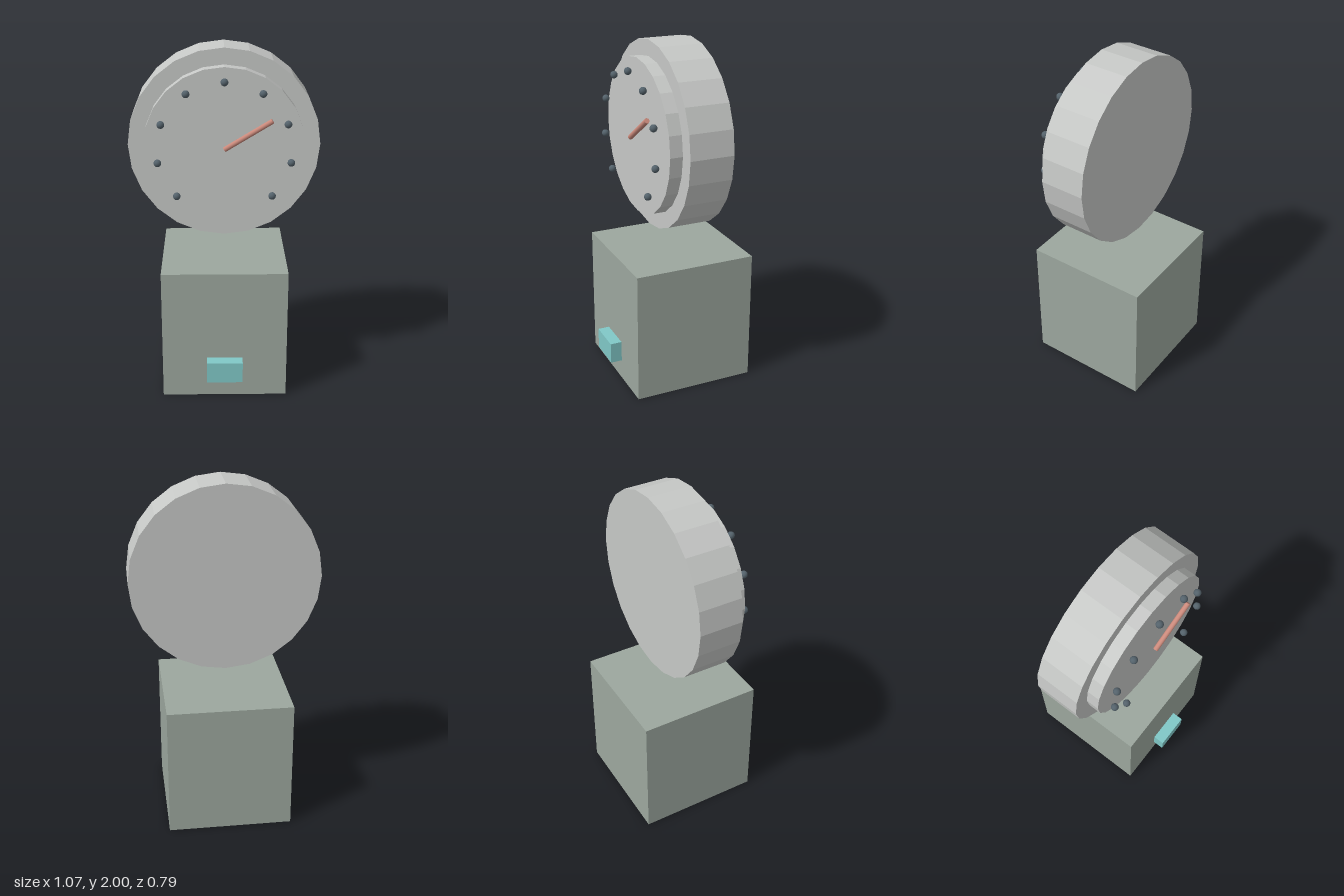
import * as THREE from 'three';

const mat = (name, color, flatShading = false) => {
  const m = new THREE.MeshStandardMaterial({ color, flatShading });
  m.name = name;
  return m;
};

export function createModel() {
  const model = new THREE.Group();
  model.name = 'gaugeOnPedestal';
  const sage = mat('sage', 0x9ca79e);
  const grey = mat('lightGrey', 0xc6c8c6, true);
  const aqua = mat('aqua', 0x80c8c7);
  const salmon = mat('salmon', 0xcb8a7c);
  const slate = mat('slate', 0x54626b);

  const add = (name, geometry, material, x, y, z, parent = model) => {
    const mesh = new THREE.Mesh(geometry, material);
    mesh.name = name;
    mesh.position.set(x, y, z);
    parent.add(mesh);
    return mesh;
  };

  // Pedestal with its front button
  add('pedestal', new THREE.BoxGeometry(0.718, 0.772, 0.718), sage, 0, 0.386, -0.035);
  add('button', new THREE.BoxGeometry(0.206, 0.124, 0.07), aqua, 0, 0.182, 0.357);

  // Gauge head: two stacked 24-sided discs facing forward
  const gauge = new THREE.Group();
  gauge.name = 'gauge';
  gauge.position.y = 1.464;
  model.add(gauge);
  const disc = (name, radius, back, front) => {
    const g = new THREE.CylinderGeometry(radius, radius, front - back, 24).rotateX(Math.PI / 2);
    add(name, g, grey, 0, 0, (front + back) / 2, gauge);
  };
  disc('housing', 0.537, -0.162, 0.094);
  disc('dialFace', 0.446, 0.094, 0.167);

  // Nine tick beads sweeping 270 degrees
  const bead = new THREE.SphereGeometry(0.021, 16, 12);
  for (let i = 0; i < 9; i++) {
    const a = THREE.MathUtils.degToRad(-135 + i * 33.75);
    add('tickBead', bead, slate, 0.374 * Math.sin(a), 0.374 * Math.cos(a), 0.217, gauge);
  }

  // Needle, leaning slightly forward
  const from = new THREE.Vector3(0, 0, 0.206);
  const to = new THREE.Vector3(0.261, 0.162, 0.217);
  const dir = to.clone().sub(from);
  const mid = from.clone().add(to).multiplyScalar(0.5);
  const needle = add('needle', new THREE.CylinderGeometry(0.0145, 0.0145, dir.length(), 12), salmon,
    mid.x, mid.y, mid.z, gauge);
  needle.quaternion.setFromUnitVectors(new THREE.Vector3(0, 1, 0), dir.normalize());

  return model;
}
